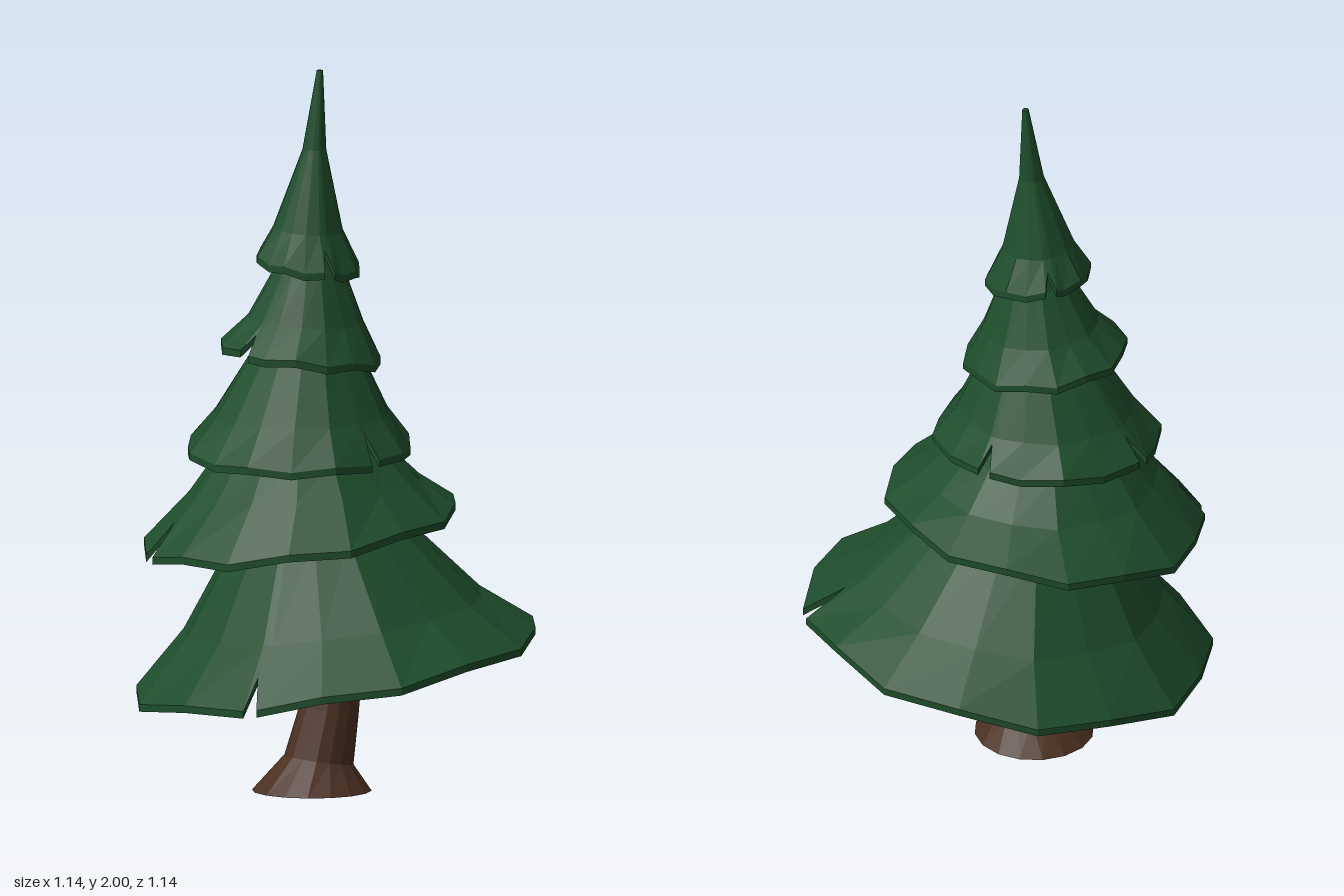
import * as THREE from 'three';

const DEG = Math.PI / 180;

// Point on a ring {y, r, cx, cz, sx, sz}; sx and sz tilt the ring
function ringPoint(g, angle, scale = 1) {
  const dx = Math.cos(angle) * g.r * scale, dz = Math.sin(angle) * g.r * scale;
  return new THREE.Vector3(g.cx + dx, g.y + dx * (g.sx || 0) + dz * (g.sz || 0), g.cz + dz);
}

// Skins rows of points, listed from the top down, into a closed band
function skin(rows, material, name) {
  const n = rows[0].length, index = [];
  for (let i = 0; i < rows.length - 1; i++) {
    for (let j = 0; j < n; j++) {
      const a = i * n + j, d = i * n + (j + 1) % n, b = a + n, c = d + n;
      index.push(a, c, b, a, d, c);
    }
  }
  const geo = new THREE.BufferGeometry().setFromPoints(rows.flat());
  geo.setIndex(index);
  geo.computeVertexNormals();
  const mesh = new THREE.Mesh(geo, material);
  mesh.name = name;
  return mesh;
}

// Sixteen columns around a tier; a notched one becomes a narrow V-shaped tear
function tierColumns(notches) {
  const columns = [];
  for (let i = 0; i < 16; i++) {
    const angle = i * 22.5 * DEG;
    const scale = i % 2 ? 0.965 : 1;
    if (notches[i]) {
      columns.push({ angle: angle - notches[i].width * DEG, scale, notch: 0 });
      columns.push({ angle: angle - notches[i].width * 0.4 * DEG, scale, notch: notches[i].depth });
    }
    columns.push({ angle, scale, notch: 0, lift: i % 2 });
  }
  return columns;
}

// Hollow skirt of foliage: outer shell, thick rim, inner shell
function makeTier({ rings, notches, wave }, material, name) {
  const columns = tierColumns(notches);
  const last = rings.length - 1;
  const shell = (drop) => rings.map((g, k) => columns.map((c) => {
    const p = ringPoint(g, c.angle, c.scale);
    if (k === last) {
      if (c.lift) p.y += wave;
      p.lerp(ringPoint(rings[last - 1], c.angle, c.scale), c.notch);
    }
    p.y -= drop;
    return p;
  }));
  return skin([...shell(0), ...shell(0.02).reverse()], material, name);
}

const ring = (y, r, cx, cz = 0.01, sx = 0, sz = 0) => ({ y, r, cx, cz, sx, sz });

const TIERS = [
  {
    rings: [ring(0.97, 0.001, -0.04), ring(0.94, 0.1, -0.04), ring(0.73, 0.24, -0.045, 0, 0.08),
      ring(0.49, 0.425, -0.01, 0, 0.13), ring(0.355, 0.57, 0, 0, 0.17)],
    notches: { 0: { width: 5, depth: 0.75 }, 6: { width: 4, depth: 0.5 } }, wave: 0.012,
  },
  {
    rings: [ring(1.18, 0.001, -0.07), ring(1.15, 0.08, -0.08), ring(0.95, 0.24, -0.095),
      ring(0.845, 0.33, -0.09, 0, 0.06), ring(0.735, 0.445, -0.1, -0.015, 0.145, -0.03)],
    notches: { 8: { width: 6, depth: 0.6 } }, wave: 0.012,
  },
  {
    rings: [ring(1.42, 0.001, -0.07), ring(1.4, 0.06, -0.08), ring(1.22, 0.155, -0.09),
      ring(1.05, 0.25, -0.105, 0.01, 0.03, -0.05), ring(0.965, 0.318, -0.11, 0.01, 0.04, -0.08)],
    notches: { 3: { width: 5, depth: 0.8 }, 10: { width: 6, depth: 0.8 }, 14: { width: 7, depth: 0.8 } },
    wave: -0.012,
  },
  {
    rings: [ring(1.64, 0.001, -0.07), ring(1.62, 0.045, -0.075), ring(1.46, 0.095, -0.08),
      ring(1.31, 0.165, -0.09, 0.01, -0.06, -0.05), ring(1.22, 0.228, -0.105, 0.01, -0.09, -0.06)],
    notches: { 7: { width: 8, depth: 0.6 } }, wave: 0.01,
  },
  {
    rings: [ring(2, 0.001, -0.05), ring(1.998, 0.009, -0.05), ring(1.78, 0.034, -0.067, 0.013),
      ring(1.56, 0.1, -0.085, 0.013, -0.05, -0.08), ring(1.475, 0.147, -0.085, 0.013, -0.1, -0.12)],
    notches: { 4: { width: 12, depth: 0.6 }, 12: { width: 12, depth: 0.6 } }, wave: -0.01,
  },
];

// Bent trunk with a flared foot
const TRUNK = [
  ring(1.5, 0.001, -0.07), ring(1.5, 0.02, -0.07), ring(1.1, 0.036, -0.045), ring(0.7, 0.052, -0.005),
  ring(0.5, 0.062, 0.005), ring(0.36, 0.071, 0, 0.012, -0.1), ring(0.22, 0.081, -0.025, 0.015, -0.2),
  ring(0.085, 0.095, -0.055, 0.017, -0.15), ring(0, 0.165, -0.075, 0.015), ring(0, 0.001, -0.075, 0.015),
];

export function createModel() {
  const tree = new THREE.Group();
  tree.name = 'pineTree';
  const leaf = new THREE.MeshStandardMaterial({ color: 0x1e4d2b, flatShading: true });
  const bark = new THREE.MeshStandardMaterial({ color: 0x4b3021, flatShading: true });

  const trunkRows = TRUNK.map((g) => Array.from({ length: 16 }, (_, i) => ringPoint(g, i * 22.5 * DEG)));
  tree.add(skin(trunkRows, bark, 'trunk'));

  TIERS.forEach((tier, i) => tree.add(makeTier(tier, leaf, `foliageTier${i + 1}`)));
  return tree;
}
